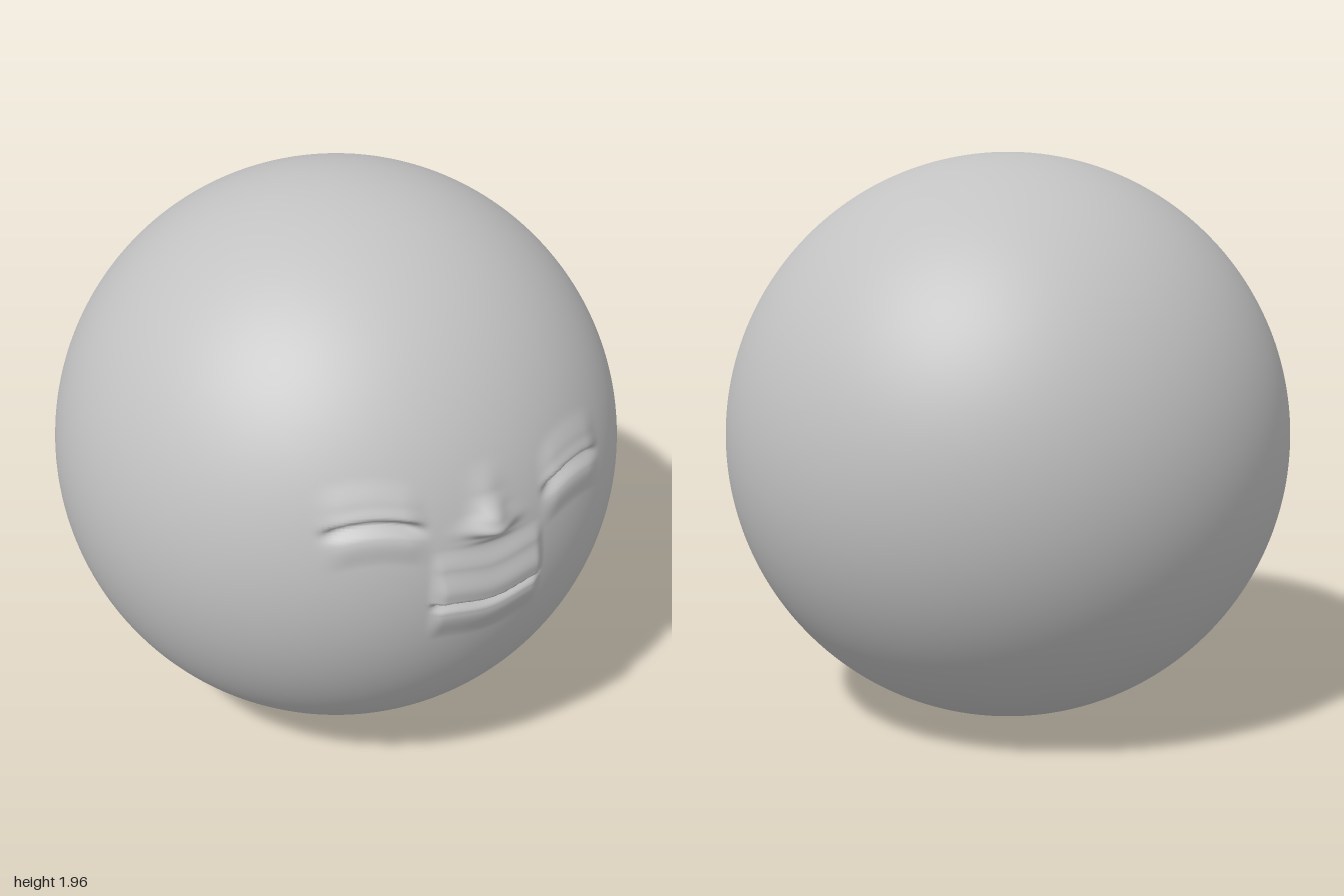
import * as THREE from 'three';
import { mergeVertices } from 'three/addons/utils/BufferGeometryUtils.js';

const R = 0.982, CY = 0.985, CZ = -0.018;

// Smooth interpolation through [position, height] pairs, zero outside them
function profile(points, t) {
  for (let i = 1; i < points.length; i++) {
    const [a, da] = points[i - 1], [b, db] = points[i];
    if (t >= a && t <= b) return da + (db - da) * THREE.MathUtils.smoothstep(t, a, b);
  }
  return 0;
}

// 1 inside the half width, fading to 0 at half width + fade
const windowed = (x, half, fade) => 1 - THREE.MathUtils.smoothstep(Math.abs(x), half, half + fade);

// Heights across each feature, from below to above
const EYE = [[-0.14, 0], [-0.06, 0.012], [-0.045, 0.01], [-0.008, -0.022], [0.022, 0.02], [0.06, 0.012], [0.14, 0]];
const MOUTH = [[-0.15, 0], [-0.055, 0.016], [-0.035, 0.014], [-0.004, -0.012], [0.016, 0.028], [0.05, 0.03], [0.13, 0.014], [0.2, 0]];
const NOSE = [[1.11, 0], [1.135, 0.014], [1.17, 0.056], [1.2, 0.05], [1.28, 0.012], [1.38, 0]];

// Forward relief of the face at x, y
function faceRelief(x, y) {
  // Closed eyes: arched creases with a lid bulging below
  const ex = (Math.abs(x) - 0.365) / 0.15;
  const arch = 1.207 + 0.033 * Math.max(0, 1 - ex * ex);
  let d = profile(EYE, y - arch) * windowed(ex, 0.55, 0.6);

  // Mouth: a nearly straight crease under a full upper lip
  const line = 0.905 + 0.02 * THREE.MathUtils.smoothstep(Math.abs(x), 0, 0.17);
  d += profile(MOUTH, y - line) * windowed(x, 0.17, 0.045);

  // Small button nose with a narrow bridge
  const width = 0.05 + 0.025 * windowed(y - 1.15, 0.02, 0.06);
  d += profile(NOSE, y) * Math.exp(-((x / width) ** 2));
  return d;
}

export function createModel() {
  const group = new THREE.Group();
  const gray = new THREE.MeshStandardMaterial({ color: 0xc2c2c2 });
  gray.name = 'gray';

  // Sphere whose grid is packed tightly around the face
  const W = 256, H = 220;
  const sphere = new THREE.SphereGeometry(1, W, H);
  const pos = sphere.attributes.position;
  for (let row = 0, i = 0; row <= H; row++) {
    const v = (2 * row) / H - 1;
    const theta = (Math.PI / 2) * (1 + 0.4 * v + 0.6 * v ** 3);
    for (let col = 0; col <= W; col++, i++) {
      const u = (2 * col) / W - 1;
      const a = Math.PI * (0.35 * u + 0.65 * u ** 3);
      const x = R * Math.sin(theta) * Math.sin(a);
      const y = CY + R * Math.cos(theta);
      const z = R * Math.sin(theta) * Math.cos(a);
      pos.setXYZ(i, x, y, CZ + z + (z > 0 ? faceRelief(x, y) : 0));
    }
  }

  // Weld the seam so the shading stays smooth all round
  sphere.deleteAttribute('uv');
  sphere.deleteAttribute('normal');
  const geometry = mergeVertices(sphere, 1e-5);
  geometry.computeVertexNormals();

  const head = new THREE.Mesh(geometry, gray);
  head.name = 'roundHead';
  group.add(head);
  return group;
}
